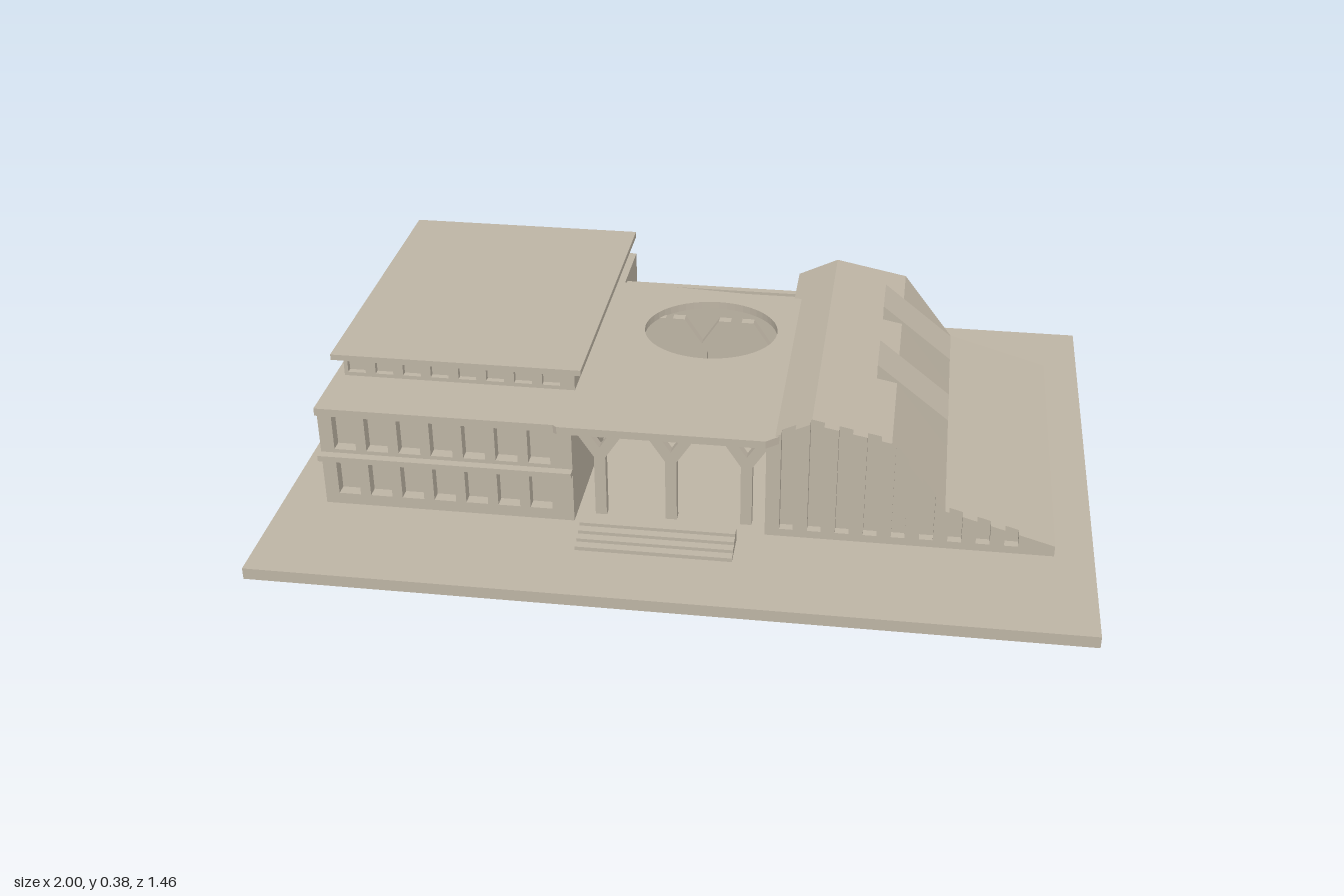
import * as THREE from 'three';

const stone = new THREE.MeshStandardMaterial({ color: 0xbdb4a4 });
stone.name = 'stone';

export function createModel() {
  const model = new THREE.Group();
  model.name = 'building';

  const add = (name, geometry, parent = model) => {
    const mesh = new THREE.Mesh(geometry, stone);
    mesh.name = name;
    parent.add(mesh);
    return mesh;
  };
  // box from its limits on each axis
  const box = (name, x0, x1, y0, y1, z0, z1, parent) =>
    add(name, new THREE.BoxGeometry(x1 - x0, y1 - y0, z1 - z0), parent)
      .position.set((x0 + x1) / 2, (y0 + y1) / 2, (z0 + z1) / 2);
  const polygon = pts => new THREE.Shape(pts.map(p => new THREE.Vector2(...p)));
  const rectPath = (x0, x1, y0, y1) => polygon([[x0, y0], [x1, y0], [x1, y1], [x0, y1]]);
  // front-facing outline extruded from z0 to z1
  const prism = (name, shape, z0, z1, parent) => {
    const g = new THREE.ExtrudeGeometry(shape, { depth: z1 - z0, bevelEnabled: false, curveSegments: 24 });
    g.translate(0, 0, z0);
    return add(name, g, parent);
  };

  box('groundSlab', -1, 1, 0, 0.03, -0.73, 0.73);

  // ---- office wing with two rows of recessed windows
  const office = new THREE.Group();
  office.name = 'officeWing';
  model.add(office);
  box('officeCore', -0.89, -0.26, 0.03, 0.295, -0.53, 0.395, office);
  const facade = rectPath(-0.89, -0.26, 0.03, 0.295);
  for (let i = 0; i < 7; i++) {
    const x = -0.855 + i * 0.081;
    for (const y of [0.06, 0.188]) facade.holes.push(rectPath(x, x + 0.055, y, y + 0.1));
  }
  prism('officeFacade', facade, 0.395, 0.425, office);
  box('middleLedge', -0.893, -0.26, 0.163, 0.178, 0.42, 0.447, office);

  // ---- attic storey and its flat roof
  box('atticCore', -0.865, -0.28, 0.3, 0.365, -0.51, 0.255, office);
  const attic = rectPath(-0.865, -0.28, 0.3, 0.365);
  for (let i = 0; i < 8; i++) {
    const x = -0.855 + i * 0.0705;
    attic.holes.push(rectPath(x, x + 0.045, 0.32, 0.35));
  }
  prism('atticFacade', attic, 0.255, 0.27, office);
  box('atticRoof', -0.89, -0.26, 0.362, 0.377, -0.53, 0.29, office);

  // ---- main roof plate with a round opening (outline in x, -z)
  const roof = polygon([
    [-0.89, -0.442], [-0.3, -0.442], [-0.29, -0.45], [0.21, -0.45], [0.245, -0.42],
    [0.245, 0.305], [0.21, 0.305], [-0.26, 0.342], [-0.26, 0.53], [-0.89, 0.53],
  ]);
  const opening = new THREE.Path();
  opening.absellipse(0.011, 0.096, 0.174, 0.16, 0, Math.PI * 2, true);
  roof.holes.push(opening);
  const roofMesh = prism('mainRoof', roof, 0, 0.02);
  roofMesh.rotation.x = -Math.PI / 2;
  roofMesh.position.y = 0.29;

  // ---- courtyard back wall
  box('courtBackWall', -0.26, 0.21, 0.03, 0.298, -0.375, -0.355);
  box('courtBackLedge', -0.26, 0.21, 0.27, 0.29, -0.36, -0.3);

  // ---- branching columns, front and back rows
  for (const z of [0.375, -0.19]) {
    for (const x of [-0.2, -0.025, 0.16]) {
      const column = new THREE.Group();
      column.name = 'branchingColumn';
      column.position.set(x, 0, z);
      model.add(column);
      const w = 0.014;
      prism('columnTrunk', polygon([
        [-w, 0.03], [w, 0.03], [w, 0.195], [0.078, 0.292], [0.046, 0.292], [0, 0.222],
        [-0.046, 0.292], [-0.078, 0.292], [-w, 0.195],
      ]), -0.012, 0.012, column);
    }
  }

  // ---- entrance steps
  for (let i = 0; i < 4; i++) {
    box('entranceStep', -0.235, 0.145, 0.03, 0.04 + i * 0.0085, 0.455, 0.55 - i * 0.022);
  }

  // ---- sloping hall
  const hall = new THREE.Group();
  hall.name = 'slopingHall';
  model.add(hall);
  const ridge = [[0.21, 0.3], [0.235, 0.312], [0.315, 0.35], [0.505, 0.312], [0.64, 0.135], [0.905, 0.058]];
  const heightAt = x => {
    const i = Math.max(1, ridge.findIndex(p => p[0] >= x));
    const [a, b] = [ridge[i - 1], ridge[i]];
    return a[1] + (b[1] - a[1]) * (x - a[0]) / (b[0] - a[0]);
  };
  prism('hallBody', polygon([[0.21, 0.03], [0.905, 0.03], ...[...ridge].reverse()]), -0.48, 0.402, hall);

  // front fins: the same outline, cut by vertical slots
  const comb = [[0.21, 0.03], [0.21, 0.3]];
  let last = 0.21;
  const runTo = x => {
    comb.push(...ridge.filter(p => p[0] > last && p[0] < x), [x, heightAt(x)]);
    last = x;
  };
  for (let i = 0; i < 9; i++) {
    const x0 = 0.245 + i * 0.0675, x1 = x0 + 0.033;
    runTo(x0);
    comb.push([x0, 0.05], [x1, 0.05], [x1, heightAt(x1)]);
    last = x1;
  }
  runTo(0.905);
  comb.push([0.905, 0.03]);
  prism('hallFins', polygon(comb), 0.402, 0.424, hall);

  // ---- dormers on the steep slope
  for (const z of [0, -0.322]) {
    prism('dormer', polygon([[0.455, 0.3], [0.62, 0.13], [0.637, 0.13], [0.637, 0.215], [0.455, 0.36]]),
      z, z + 0.132, hall);
  }

  return model;
}
